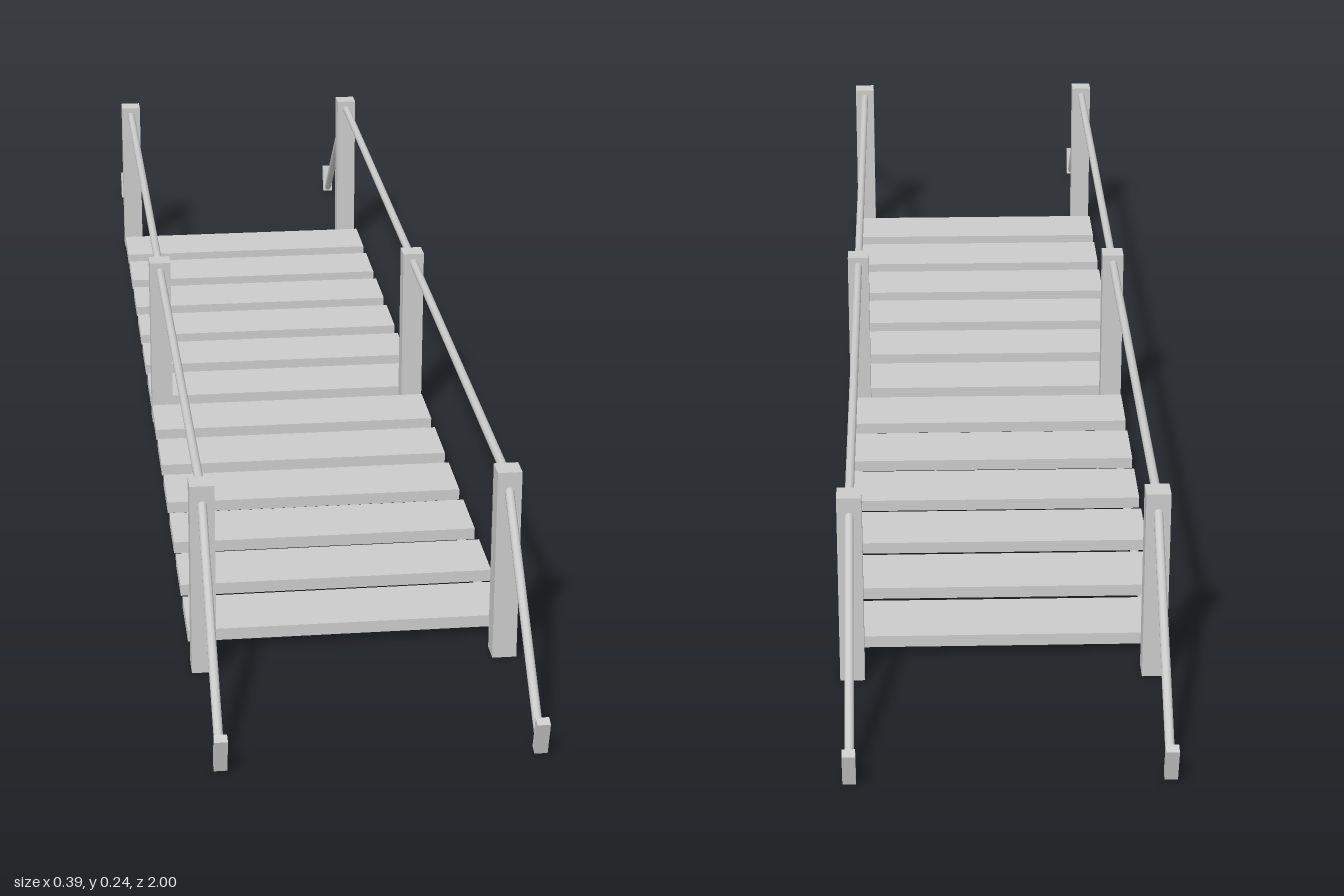
import * as THREE from 'three';

const material = new THREE.MeshStandardMaterial({ color: 0xcccccc, flatShading: true });
const ropeMaterial = new THREE.MeshStandardMaterial({ color: 0xcccccc });

function box(name, w, h, d, x, y, z) {
  const mesh = new THREE.Mesh(new THREE.BoxGeometry(w, h, d), material);
  mesh.name = name;
  mesh.position.set(x, y, z);
  return mesh;
}

// Straight round rope between two points
function rope(name, from, to, radius) {
  const a = new THREE.Vector3(...from);
  const b = new THREE.Vector3(...to);
  const dir = b.clone().sub(a);
  const mesh = new THREE.Mesh(new THREE.CylinderGeometry(radius, radius, dir.length(), 10), ropeMaterial);
  mesh.name = name;
  mesh.position.copy(a).add(b).multiplyScalar(0.5);
  mesh.quaternion.setFromUnitVectors(new THREE.Vector3(0, 1, 0), dir.normalize());
  return mesh;
}

export function createModel() {
  const bridge = new THREE.Group();
  bridge.name = 'ropeBridge';
  const sideX = 0.179, endZ = 0.747, postH = 0.241, railY = 0.228, r = 0.0055;

  // Walkway planks, evenly spaced
  const count = 12, pitch = 0.12;
  for (let i = 0; i < count; i++) {
    const z = (i - (count - 1) / 2) * pitch;
    bridge.add(box('plank', 0.388, 0.015, 0.088, 0, 0.0195, z));
  }

  for (const side of [-1, 1]) {
    const x = side * sideX;
    const name = side > 0 ? 'left' : 'right';

    // Posts at both ends and in the middle
    for (const z of [-endZ, 0, endZ]) {
      bridge.add(box(name + 'Post', 0.029, postH, 0.028, x, postH / 2, z));
    }

    // Handrail rope and the rope carrying the planks
    bridge.add(rope(name + 'HandRope', [x, railY, -endZ], [x, railY, endZ], r));
    bridge.add(rope(name + 'FloorRope', [x, 0.0065, -endZ], [x, 0.0065, endZ], r));

    // Anchor ropes down to outward-leaning ground stakes
    for (const end of [-1, 1]) {
      bridge.add(rope(name + 'AnchorRope', [x, railY, end * endZ], [x, 0.009, end * 0.981], r));
      const stake = box(name + 'Stake', 0.015, 0.044, 0.012, x, 0.0235, end * 0.988);
      stake.rotation.x = end * 0.27;
      bridge.add(stake);
    }
  }
  return bridge;
}
